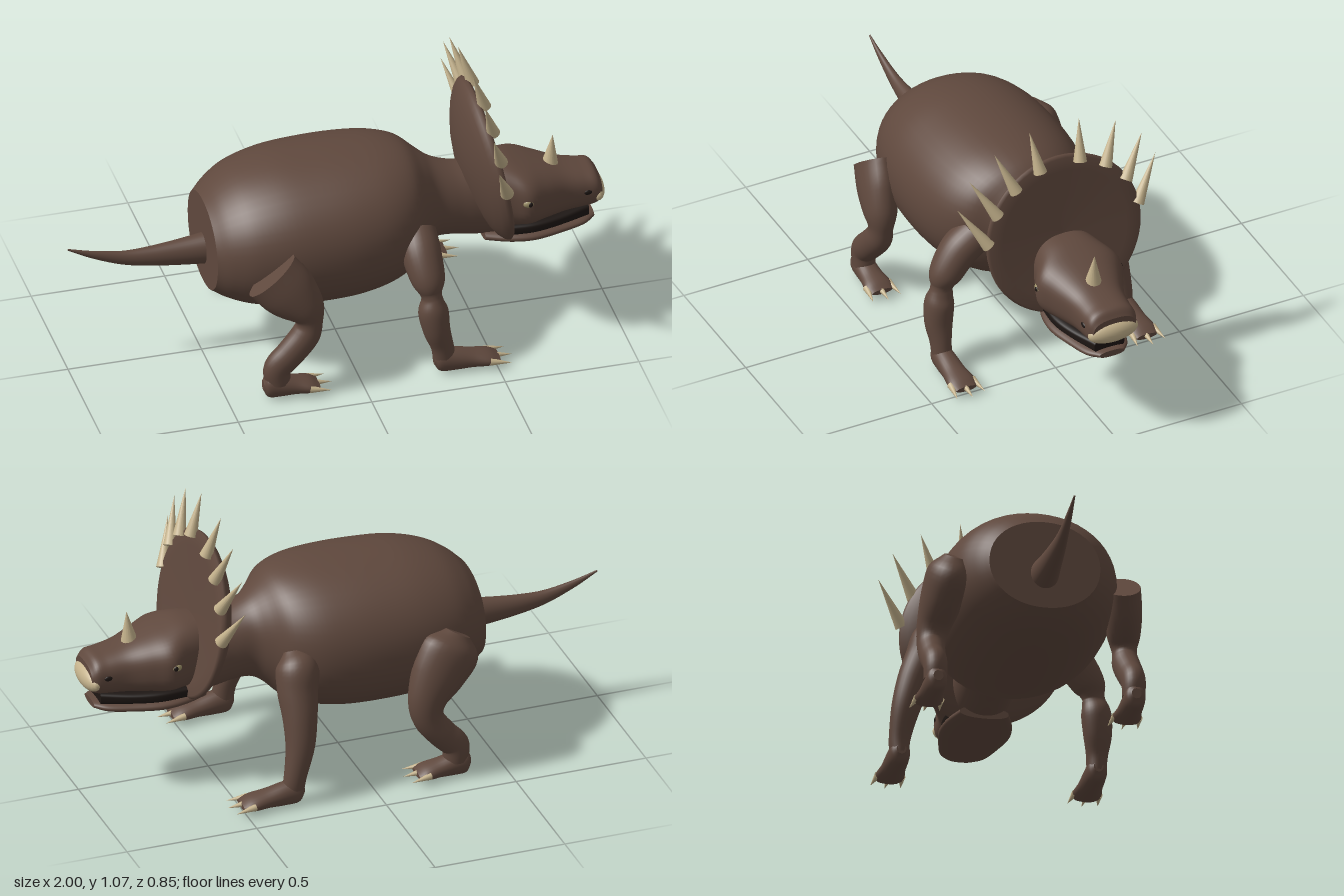
import * as THREE from 'three';

const mat = (name, color) => {
  const m = new THREE.MeshStandardMaterial({ color });
  m.name = name;
  return m;
};

// Skin through elliptical rings; rows are [x, y, z, radiusUp, radiusSide].
// ref sets the side direction, axis fixes the ring normal, n squares the ring.
function loft(rows, { ref = [0, 0, 1], axis = null, n = 2, seg = 32, sub = 5 } = {}) {
  const path = new THREE.CatmullRomCurve3(rows.map(r => new THREE.Vector3(r[0], r[1], r[2])), false, 'catmullrom', 0.5);
  const radii = new THREE.CatmullRomCurve3(rows.map(r => new THREE.Vector3(r[3], r[4], 0)), false, 'catmullrom', 0.5);
  const count = (rows.length - 1) * sub;
  const pos = [], idx = [];
  const bend = v => Math.sign(v) * Math.abs(v) ** (2 / n);
  for (let i = 0; i <= count; i++) {
    const c = path.getPoint(i / count), r = radii.getPoint(i / count);
    const T = axis ? new THREE.Vector3(...axis) : path.getTangent(i / count);
    const S = new THREE.Vector3(...ref);
    S.addScaledVector(T, -S.dot(T)).normalize();
    const U = T.clone().cross(S);
    for (let j = 0; j < seg; j++) {
      const a = j / seg * Math.PI * 2;
      const p = c.clone().addScaledVector(S, bend(Math.cos(a)) * r.y).addScaledVector(U, bend(Math.sin(a)) * r.x);
      pos.push(p.x, p.y, p.z);
      if (i < count) {
        const k = (j + 1) % seg, A = i * seg, B = A + seg;
        idx.push(A + j, A + k, B + k, A + j, B + k, B + j);
      }
    }
  }
  // Flat end caps with their own vertices
  for (const end of [0, count]) {
    const c = path.getPoint(end / count), base = pos.length / 3;
    pos.push(c.x, c.y, c.z);
    for (let j = 0; j < seg; j++) {
      const o = (end * seg + j) * 3;
      pos.push(pos[o], pos[o + 1], pos[o + 2]);
      const a = base + 1 + j, b = base + 1 + (j + 1) % seg;
      if (end) idx.push(base, a, b); else idx.push(base, b, a);
    }
  }
  const g = new THREE.BufferGeometry();
  g.setAttribute('position', new THREE.Float32BufferAttribute(pos, 3));
  g.setIndex(idx);
  g.computeVertexNormals();
  return g;
}

// Lengthwise form; rows are [x, bottom, top, halfWidth]
const hull = (rows, n) => loft(rows.map(([x, b, t, w]) => [x, (b + t) / 2, 0, (t - b) / 2, w]), { axis: [1, 0, 0], n, seg: 48 });

export function createModel() {
  const model = new THREE.Group();
  const hide = mat('brown hide', 0x5f483d);
  const horn = mat('tan horn', 0xc4b28c);
  const dark = mat('dark mouth', 0x1d1613);
  const eyeColor = mat('eye', 0x9c9068);

  const add = (name, geo, material) => {
    const m = new THREE.Mesh(geo, material);
    m.name = name;
    model.add(m);
    return m;
  };
  const ball = (name, material, p, s) => {
    const m = add(name, new THREE.SphereGeometry(1, 24, 16), material);
    m.position.set(...p);
    m.scale.set(...s);
  };
  const spike = (name, from, to, r) => {
    const a = new THREE.Vector3(...from), b = new THREE.Vector3(...to), d = b.clone().sub(a);
    const m = add(name, new THREE.ConeGeometry(r, d.length(), 16), horn);
    m.position.copy(a).add(b).multiplyScalar(0.5);
    m.quaternion.setFromUnitVectors(new THREE.Vector3(0, 1, 0), d.normalize());
  };

  // Barrel body running into the neck
  add('body', hull([
    [-0.495, 0.30, 0.64, 0.205], [-0.44, 0.268, 0.69, 0.25], [-0.36, 0.238, 0.735, 0.292], [-0.24, 0.217, 0.767, 0.32],
    [-0.1, 0.212, 0.778, 0.33], [0.04, 0.217, 0.78, 0.325], [0.16, 0.24, 0.773, 0.3], [0.25, 0.28, 0.75, 0.25],
    [0.31, 0.335, 0.705, 0.175], [0.36, 0.36, 0.668, 0.13], [0.43, 0.358, 0.64, 0.12], [0.5, 0.345, 0.63, 0.12], [0.58, 0.34, 0.62, 0.12],
  ], 2.1), hide);

  add('tail', loft([
    [-0.47, 0.437, 0, 0.062, 0.055], [-0.58, 0.434, 0, 0.05, 0.042], [-0.7, 0.436, 0, 0.037, 0.03],
    [-0.8, 0.447, 0, 0.026, 0.02], [-0.91, 0.479, 0, 0.014, 0.011], [-1, 0.515, 0, 0.003, 0.003],
  ]), hide);

  // Saucer-shaped frill, leaning back
  const frill = add('frill', new THREE.LatheGeometry([
    [0, -0.105], [0.07, -0.102], [0.14, -0.09], [0.2, -0.073], [0.25, -0.053], [0.285, -0.033], [0.305, -0.014],
    [0.31, 0], [0.3, 0.01], [0.25, 0.01], [0.15, 0.004], [0, 0],
  ].map(p => new THREE.Vector2(...p)), 64), hide);
  frill.position.set(0.565, 0.642, 0);
  frill.rotation.z = -80 * Math.PI / 180;

  // Head, jaw and mouth
  add('head', hull([
    [0.54, 0.38, 0.64, 0.12], [0.62, 0.383, 0.642, 0.142], [0.69, 0.388, 0.625, 0.17], [0.76, 0.393, 0.602, 0.143],
    [0.84, 0.398, 0.575, 0.11], [0.91, 0.403, 0.56, 0.1], [0.955, 0.41, 0.552, 0.097], [0.978, 0.425, 0.525, 0.085],
  ], 2.6), hide);
  add('lowerJaw', hull([
    [0.54, 0.33, 0.375, 0.09], [0.63, 0.323, 0.376, 0.122], [0.72, 0.32, 0.375, 0.13], [0.82, 0.325, 0.373, 0.11],
    [0.91, 0.333, 0.373, 0.085], [0.957, 0.345, 0.37, 0.05],
  ], 2.3), hide);
  add('mouth', hull([
    [0.62, 0.355, 0.405, 0.113], [0.72, 0.355, 0.405, 0.118], [0.82, 0.358, 0.405, 0.098], [0.935, 0.36, 0.41, 0.06],
  ], 4), dark);
  ball('beak', horn, [0.963, 0.463, 0], [0.037, 0.044, 0.1]);
  spike('noseHorn', [0.803, 0.565, 0], [0.815, 0.697, 0], 0.034);

  // Three forward claws and a flattened foot
  const foot = (name, x, length, z) => {
    const k = length / 0.22;
    add(name, loft([
      [0, 0.052, 0.02, 0.018], [0.02, 0.05, 0.047, 0.036], [0.07, 0.045, 0.044, 0.042], [0.13, 0.038, 0.034, 0.045],
      [0.185, 0.032, 0.026, 0.053], [0.22, 0.029, 0.01, 0.04],
    ].map(([dx, y, u, s]) => [x + dx * k, y, z, u, s]), { axis: [1, 0, 0], seg: 24 }), hide);
    for (const o of [-1, 0, 1]) {
      const end = x + length - Math.abs(o) * 0.015;
      spike('claw', [end - 0.025, 0.033, z + o * 0.043], [end + 0.053, 0.025, z + o * 0.056], 0.014);
    }
  };

  for (const side of [1, -1]) {
    const label = side > 0 ? 'near' : 'far';
    ball('eye', eyeColor, [0.682, 0.522, side * 0.157], [0.022, 0.017, 0.016]);
    ball('pupil', dark, [0.686, 0.522, side * 0.169], [0.009, 0.01, 0.006]);
    ball('nostril', dark, [0.92, 0.49, side * 0.097], [0.016, 0.01, 0.006]);

    // Frill spikes: base y, z then tip x, y, z
    for (const [y, z, tx, ty, tz] of [
      [0.675, 0.3, 0.505, 0.83, 0.4], [0.785, 0.258, 0.5, 0.935, 0.348],
      [0.865, 0.18, 0.495, 1.02, 0.245], [0.915, 0.08, 0.488, 1.07, 0.1],
    ]) spike('frillSpike', [0.565 - (y - 0.642) * 0.1, y, side * z], [tx, ty, side * tz], 0.025);

    // One side has stepped joints, the other smooth limbs
    const frontRows = side > 0 ? [
      [0.25, 0.5, 0.2, 0.07, 0.072], [0.25, 0.45, 0.265, 0.07, 0.073], [0.26, 0.37, 0.325, 0.06, 0.062], [0.265, 0.325, 0.342, 0.042, 0.04],
      [0.268, 0.3, 0.347, 0.045, 0.04], [0.27, 0.255, 0.355, 0.055, 0.055], [0.28, 0.18, 0.362, 0.052, 0.05],
      [0.3, 0.11, 0.364, 0.04, 0.042], [0.31, 0.05, 0.364, 0.036, 0.042],
    ] : [
      [0.25, 0.54, 0.22, 0.03, 0.04], [0.25, 0.49, 0.25, 0.075, 0.078], [0.26, 0.41, 0.28, 0.074, 0.075], [0.265, 0.32, 0.318, 0.064, 0.064],
      [0.275, 0.22, 0.347, 0.053, 0.054], [0.3, 0.11, 0.364, 0.04, 0.042], [0.31, 0.05, 0.364, 0.036, 0.042],
    ];
    const hindRows = side > 0 ? [
      [-0.325, 0.49, 0.322, 0.11, 0.066], [-0.265, 0.42, 0.338, 0.105, 0.068], [-0.21, 0.35, 0.352, 0.075, 0.06],
      [-0.195, 0.295, 0.358, 0.05, 0.045], [-0.21, 0.24, 0.36, 0.054, 0.05], [-0.265, 0.175, 0.365, 0.054, 0.048],
      [-0.315, 0.12, 0.366, 0.052, 0.044], [-0.315, 0.06, 0.366, 0.046, 0.042],
    ] : [
      [-0.35, 0.54, 0.3, 0.05, 0.04], [-0.32, 0.49, 0.31, 0.115, 0.082], [-0.265, 0.41, 0.33, 0.108, 0.078], [-0.215, 0.32, 0.35, 0.075, 0.062],
      [-0.215, 0.245, 0.36, 0.058, 0.052], [-0.265, 0.175, 0.365, 0.054, 0.048],
      [-0.315, 0.12, 0.366, 0.052, 0.044], [-0.315, 0.06, 0.366, 0.046, 0.042],
    ];
    const place = rows => rows.map(([x, y, z, u, s]) => [x, y, z * side, u, s]);
    add(label + 'FrontLeg', loft(place(frontRows), { ref: [1, 0, 0], seg: 28 }), hide);
    add(label + 'HindLeg', loft(place(hindRows), { seg: 28 }), hide);
    foot(label + 'FrontFoot', 0.27, 0.24, side * 0.364);
    foot(label + 'HindFoot', -0.37, 0.205, side * 0.366);
  }
  return model;
}
